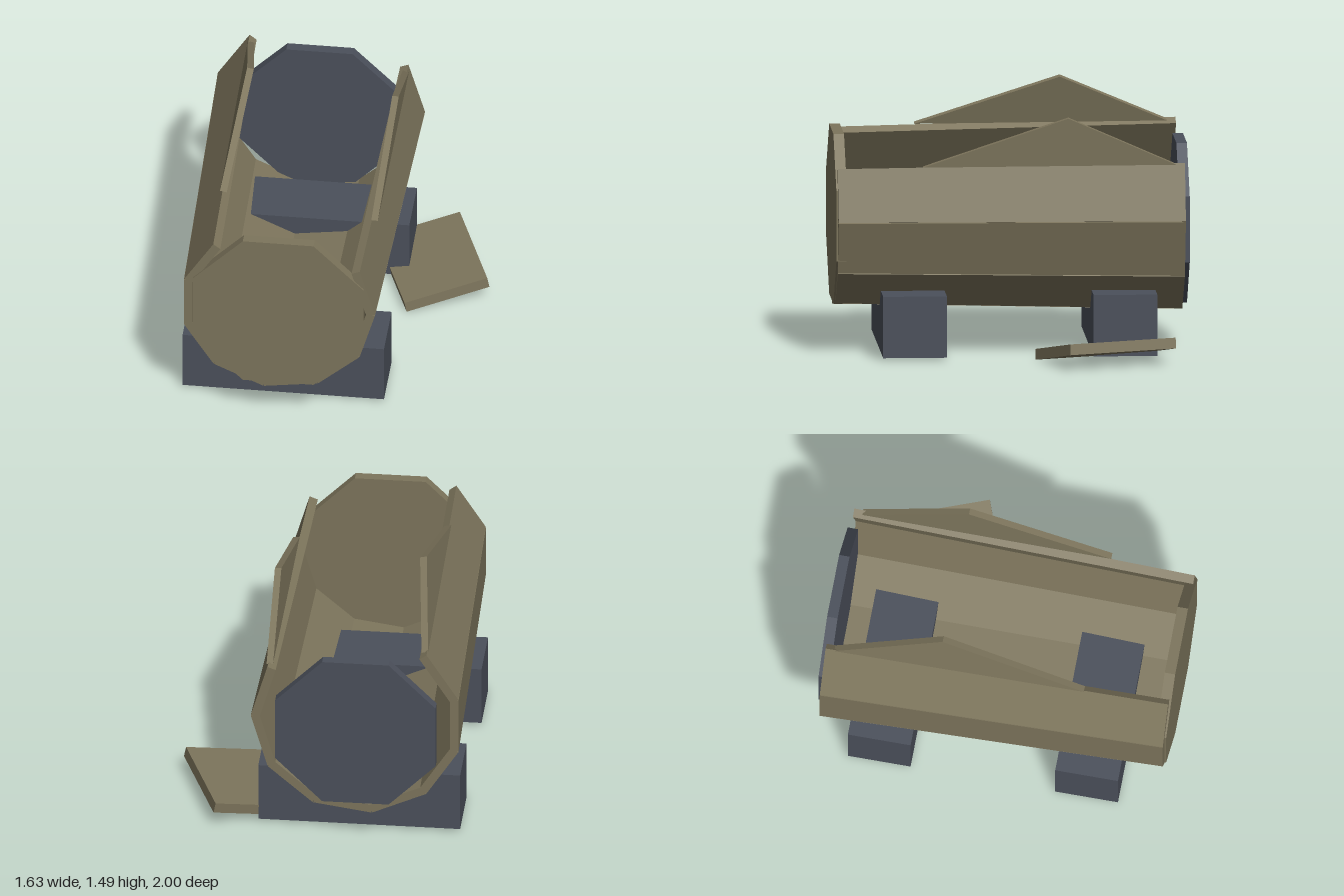
import * as THREE from 'three';
import { ConvexGeometry } from 'three/addons/geometries/ConvexGeometry.js';

export function createModel() {
  const model = new THREE.Group();
  model.name = 'brokenBarrel';

  const wood = new THREE.MeshStandardMaterial({ color: 0x7d755c });
  wood.name = 'weathered olive wood';
  const slate = new THREE.MeshStandardMaterial({ color: 0x4b505b });
  slate.name = 'dark slate';

  const add = (name, geometry, material, x = 0, y = 0, z = 0) => {
    const mesh = new THREE.Mesh(geometry, material);
    mesh.name = name;
    mesh.position.set(x, y, z);
    model.add(mesh);
    return mesh;
  };

  // Solid swept from one flat outline, pushed along an offset
  const slab = (name, corners, offset, material) => {
    const shift = new THREE.Vector3(...offset);
    const base = corners.map((c) => new THREE.Vector3(...c));
    const points = base.concat(base.map((p) => p.clone().add(shift)));
    return add(name, new ConvexGeometry(points), material);
  };

  // Octagonal end lid with flat top and bottom
  const lid = (name, apothem, y, z, material) => {
    const radius = apothem / Math.cos(Math.PI / 8);
    const geometry = new THREE.CylinderGeometry(radius, radius, 0.06, 8).toNonIndexed();
    geometry.computeVertexNormals();
    geometry.rotateY(Math.PI / 8).rotateX(Math.PI / 2);
    add(name, geometry, material, -0.235, y, z);
  };
  lid('frontLid', 0.485, 0.755, 0.97, wood);
  lid('backLid', 0.455, 0.715, -0.97, slate);

  // Eight staves of an eleven-sided barrel, flaring toward the back; the top three are missing
  const step = (Math.PI * 2) / 11;
  const staveEnd = (radius, middle, z) => {
    const outer = radius * Math.cos(step / 2);
    const half = radius * Math.sin(step / 2) - 0.003;
    const inner = outer - 0.05;
    const innerHalf = half - 0.004;
    return [[outer, -half], [outer, half], [inner, innerHalf], [inner, -innerHalf]].map(
      ([r, t]) => new THREE.Vector3(
        -0.24 + r * Math.cos(middle) - t * Math.sin(middle),
        0.78 + r * Math.sin(middle) + t * Math.cos(middle),
        z
      )
    );
  };
  for (let i = 0; i < 8; i++) {
    const middle = step * (0.5 - i);
    const points = [...staveEnd(0.555, middle, 0.99), ...staveEnd(0.602, middle, -0.97)];
    add('stave' + (i + 1), new ConvexGeometry(points), wood);
  }

  // Splintered triangles standing on the upper stave edges
  slab('rightSplinter',
    [[-0.625, 1.22, 0.51], [-0.57, 1.49, -0.31], [-0.64, 1.225, -0.92]],
    [0.038, -0.008, 0], wood);
  slab('leftSplinter',
    [[0.235, 1.09, 0.51], [0.255, 1.365, -0.31], [0.24, 1.095, -0.92]],
    [0.037, -0.002, 0], wood);

  // Cradle blocks
  for (const [name, z] of [['frontBlock', 0.56], ['backBlock', -0.63]]) {
    add(name, new THREE.BoxGeometry(1.145, 0.35, 0.36), slate, -0.2375, 0.187, z);
  }

  // Fallen plank leaning beside the barrel
  slab('fallenPlank',
    [[0.36, 0, -0.12], [0.13, 0, -0.73], [0.58, 0.09, -0.9], [0.81, 0.09, -0.29]],
    [-0.012, 0.06, 0], wood);

  return model;
}
